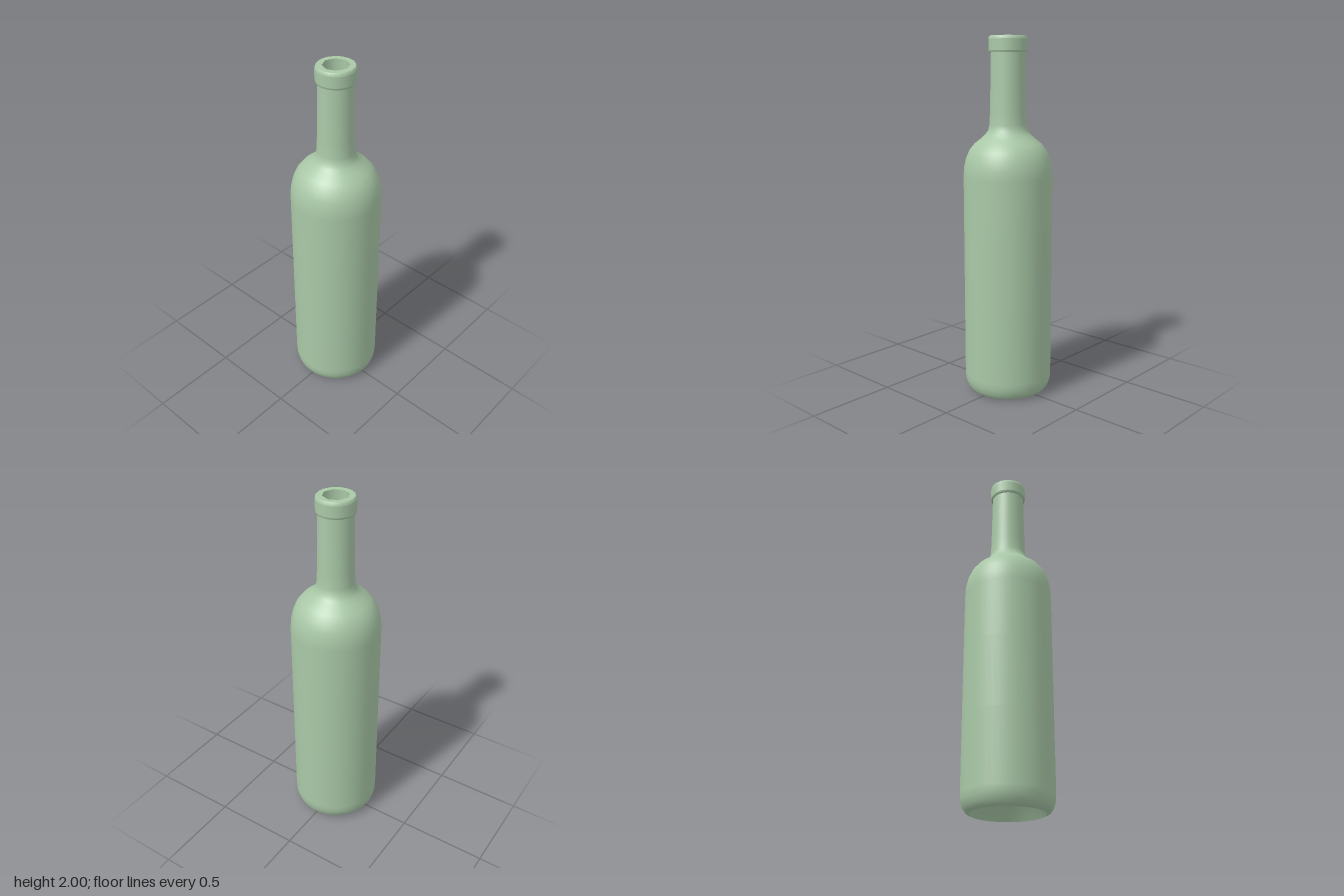
import * as THREE from 'three';

const glass = new THREE.MeshStandardMaterial({ color: 0xa9c8a7 });
glass.name = 'paleGreenGlass';

// Smoothly turned surface; a profile running upward faces outward
function turned(name, profile, sides) {
  const points = profile.map(([r, y]) => new THREE.Vector2(r, y));
  const mesh = new THREE.Mesh(new THREE.LatheGeometry(points, sides), glass);
  mesh.name = name;
  return mesh;
}

// Corners of a regular polygon with one corner on the z axis
function polygon(radius, sides) {
  return Array.from({ length: sides }, (_, i) => {
    const a = (i / sides) * Math.PI * 2;
    return new THREE.Vector2(Math.sin(a) * radius, Math.cos(a) * radius);
  });
}

export function createModel() {
  const bottle = new THREE.Group();
  bottle.name = 'bottle';

  // Outer wall: rounded foot, straight body, shoulder and tapering neck
  bottle.add(turned('bodyAndNeck', [
    [0.2, 0], [0.218, 0.008], [0.235, 0.03], [0.245, 0.065], [0.247, 0.1],
    [0.247, 0.5], [0.247, 0.9], [0.247, 1.24], [0.244, 1.29], [0.233, 1.34],
    [0.214, 1.385], [0.186, 1.42], [0.15, 1.448], [0.124, 1.472],
    [0.109, 1.495], [0.102, 1.525], [0.099, 1.6], [0.096, 1.75], [0.093, 1.92],
  ], 48));

  // Hollow under the foot
  bottle.add(turned('punt', [
    [0, 0.2], [0.03, 0.195], [0.07, 0.17], [0.12, 0.115], [0.17, 0.05], [0.2, 0],
  ], 48));

  // Collar around the mouth, split where its edges are sharp
  bottle.add(turned('collarUnderside', [[0.09, 1.912], [0.102, 1.912]], 16));
  bottle.add(turned('collarLowerEdge', [[0.102, 1.912], [0.106, 1.922]], 16));
  bottle.add(turned('collar', [[0.106, 1.922], [0.106, 1.982]], 16));
  bottle.add(turned('collarUpperEdge', [[0.106, 1.982], [0.104, 1.993], [0.098, 2]], 16));

  // Flat lip with an eight-sided mouth
  const lipShape = new THREE.Shape(polygon(0.098, 16));
  lipShape.holes.push(new THREE.Path(polygon(0.07, 8)));
  const lip = new THREE.Mesh(new THREE.ShapeGeometry(lipShape), glass);
  lip.name = 'lip';
  lip.rotation.x = -Math.PI / 2;
  lip.position.y = 2;
  bottle.add(lip);

  // Inside of the neck and body
  bottle.add(turned('bore', [[0.07, 2], [0.066, 1.8], [0.063, 1.5]], 8));
  bottle.add(turned('cavity', [
    [0.063, 1.5], [0.1, 1.45], [0.17, 1.39], [0.21, 1.32], [0.225, 1.24],
    [0.225, 0.12], [0.2, 0.07], [0.12, 0.15], [0.07, 0.2], [0.03, 0.225], [0, 0.23],
  ], 32));

  return bottle;
}
